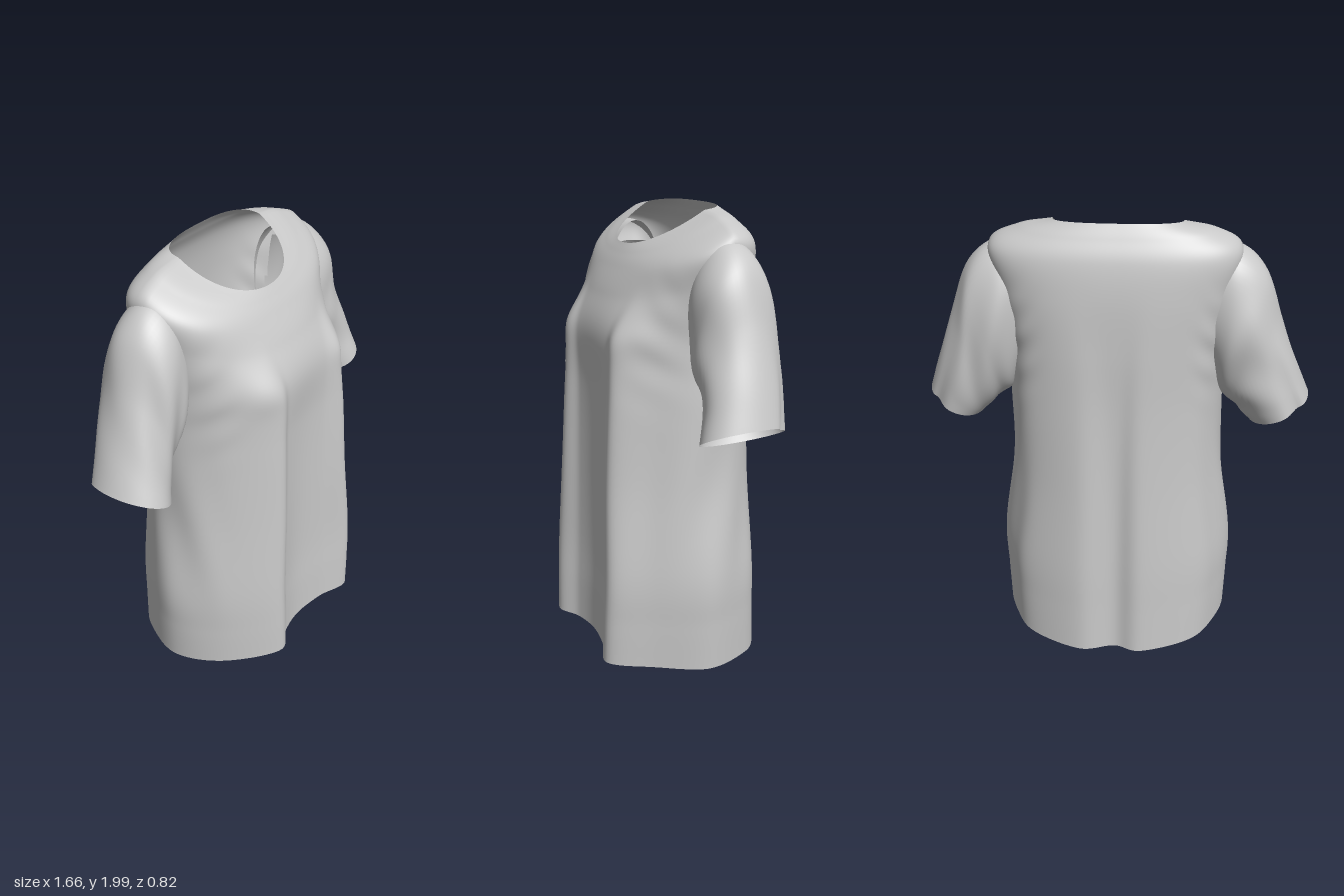
import * as THREE from 'three';

const smoothCurve = (pts, closed) => new THREE.CatmullRomCurve3(pts, closed, 'catmullrom', 0.5);

// Points spread round a closed curve
const closedPoints = (pts, count) => {
  const c = smoothCurve(pts, true);
  return Array.from({ length: count }, (_, i) => c.getPoint(i / count));
};

// Smooth open tube through rings that share one point count.
function loft(rings, along, adjust, skip) {
  const around = rings[0].length;
  const columns = rings[0].map((_, i) => smoothCurve(rings.map((r) => r[i]), false));
  const points = [];
  for (let j = 0; j <= along; j++)
    for (let i = 0; i < around; i++) {
      const p = columns[i].getPoint(j / along);
      adjust(p, i / around, j / along);
      points.push(p);
    }
  const index = [];
  for (let j = 0; j < along; j++)
    for (let i = 0; i < around; i++) {
      const a = j * around + i, b = j * around + ((i + 1) % around);
      const c = a + around, d = b + around;
      if (skip && [a, b, c, d].every((k) => skip(points[k]))) continue;
      index.push(a, b, d, a, d, c);
    }
  const g = new THREE.BufferGeometry().setFromPoints(points);
  g.setIndex(index);
  g.computeVertexNormals();
  return g;
}

const { lerp, smoothstep } = THREE.MathUtils;
const bump = (x, centre, width) => Math.exp(-(((x - centre) / width) ** 2));

// Plan of the hanging cloth, front centre first, turning towards +x.
const draped = closedPoints([
  [0.06, 0.80], [0.36, 0.86], [0.66, 0.98], [0.84, 0.55], [1, 0], [0.88, -0.5], [0.7, -0.78],
  [0.3, -1], [0, -0.93], [-0.24, -1], [-0.66, -0.8], [-0.87, -0.5], [-1, -0.02],
  [-0.84, 0.52], [-0.45, 0.98], [-0.2, 0.85],
].map(([x, z]) => new THREE.Vector3(x, 0, z)), 160);

// Height at front, side, back; half widths; z at front, side, back; roundness.
const levels = [
  [0.07, 0.03, 0.0, 0.535, 0.515, 0.41, 0.0, -0.41, 0],
  [0.25, 0.23, 0.21, 0.54, 0.52, 0.405, 0.0, -0.40, 0],
  [0.47, 0.45, 0.44, 0.54, 0.52, 0.395, 0.0, -0.39, 0],
  [0.85, 0.84, 0.84, 0.49, 0.475, 0.38, 0.0, -0.365, 0.12],
  [1.22, 1.2, 1.2, 0.475, 0.455, 0.365, -0.03, -0.345, 0.3],
  [1.47, 1.46, 1.47, 0.465, 0.455, 0.35, -0.06, -0.335, 0.6],
  [1.63, 1.69, 1.7, 0.495, 0.48, 0.265, -0.08, -0.32, 0.95],
  [1.74, 1.875, 1.85, 0.525, 0.505, 0.205, -0.09, -0.295, 1],
  [1.795, 1.95, 1.935, 0.40, 0.40, 0.17, -0.1, -0.255, 1],
  [1.83, 1.975, 1.99, 0.26, 0.267, 0.145, -0.1, -0.22, 1],
];

function torsoRing([yF, yS, yB, wR, wL, zF, zS, zB, round]) {
  return draped.map((d) => {
    const a = Math.atan2(d.z, d.x);
    const power = d.z > 0 ? 0.95 : 0.75; // the back is squarer than the front
    const soft = (v) => Math.sign(v) * Math.abs(v) ** power;
    const x = lerp(d.x, soft(Math.cos(a)), round);
    const z = lerp(d.z, soft(Math.sin(a)), round);
    const t = Math.abs(z);
    return new THREE.Vector3(x * (x > 0 ? wR : wL),
      lerp(yS, z > 0 ? yF : yB, t), lerp(zS, z > 0 ? zF : zB, t));
  });
}

function torsoFolds(p) {
  // Bust points on the front
  if (p.z > 0) {
    p.z += 0.014 * bump(p.y, 1.47, 0.07) * (bump(p.x, -0.25, 0.09) + bump(p.x, 0.32, 0.09));
  }
  // Slanted drapes under the arms
  const side = smoothstep(Math.abs(p.x), 0.36, 0.47) * bump(p.y, 0.8, 0.35);
  p.x += Math.sign(p.x) * 0.008 * side * Math.sin(p.z * 22 + p.y * 6);
  // Creases beside the armholes
  const crease = bump(Math.abs(p.x), 0.4, 0.06) * bump(p.y, 1.45, 0.2);
  p.z += 0.006 * crease * Math.sin(p.y * 38 + Math.abs(p.x) * 40);
}

// Outer edge x, y; inner edge x, y; middle z and half depth.
const sleeveRows = [
  [0.38, 1.88, 0.40, 1.34, -0.09, 0.13],
  [0.51, 1.875, 0.45, 1.235, -0.085, 0.17],
  [0.625, 1.78, 0.49, 1.195, -0.08, 0.175],
  [0.70, 1.57, 0.53, 1.16, -0.075, 0.17],
  [0.77, 1.38, 0.565, 1.12, -0.06, 0.175],
  [0.83, 1.2, 0.60, 1.08, -0.035, 0.185],
];

function sleeveGeometry(side, inset) {
  const rings = sleeveRows.map(([ox, oy, ix, iy, zc, depth], j) => {
    const v = j / (sleeveRows.length - 1);
    return Array.from({ length: 56 }, (_, k) => {
      const a = (k / 56) * Math.PI * 2;
      const t = (1 + Math.cos(a)) / 2;
      const x = lerp(ix, ox, t) - inset * Math.sqrt(v) * (1 - v ** 4 * t);
      return new THREE.Vector3(side * x, lerp(iy, oy, t), zc + side * depth * Math.sin(a));
    });
  });
  const creases = (p, u, v) => {
    // Soft creases winding down the sleeve
    const a = u * Math.PI * 2;
    const fade = Math.sin(Math.PI * Math.min(v * 1.1, 1)) * 0.008;
    p.z += fade * Math.sin(a) * Math.sin(5 * a + 11 * v);
    p.x += side * fade * 0.5 * Math.sin(4 * a + 14 * v);
    // Pinched fold at the back of the cuff
    p.z += 0.03 * bump(a, side > 0 ? 5.3 : 1.0, 0.25) * v ** 4;
  };
  return loft(rings, 40, creases);
}

export function createModel() {
  const cloth = new THREE.MeshStandardMaterial({ color: 0xc8c8c8, side: THREE.DoubleSide });
  cloth.name = 'light grey cloth';
  const shirt = new THREE.Group();
  shirt.name = 'shirt';
  const add = (name, geometry) => {
    const mesh = new THREE.Mesh(geometry, cloth);
    mesh.name = name;
    shirt.add(mesh);
  };

  // Body with open hem, neck and armholes
  const armhole = (p) => Math.abs(p.x) > 0.42 && p.y > 1.38 && p.y < 1.78 && Math.abs(p.z + 0.08) < 0.12;
  add('body', loft(levels.map(torsoRing), 108, torsoFolds, armhole));

  // Short sleeves
  add('leftSleeve', sleeveGeometry(1, 0));
  add('rightSleeve', sleeveGeometry(-1, 0.03));
  return shirt;
}
